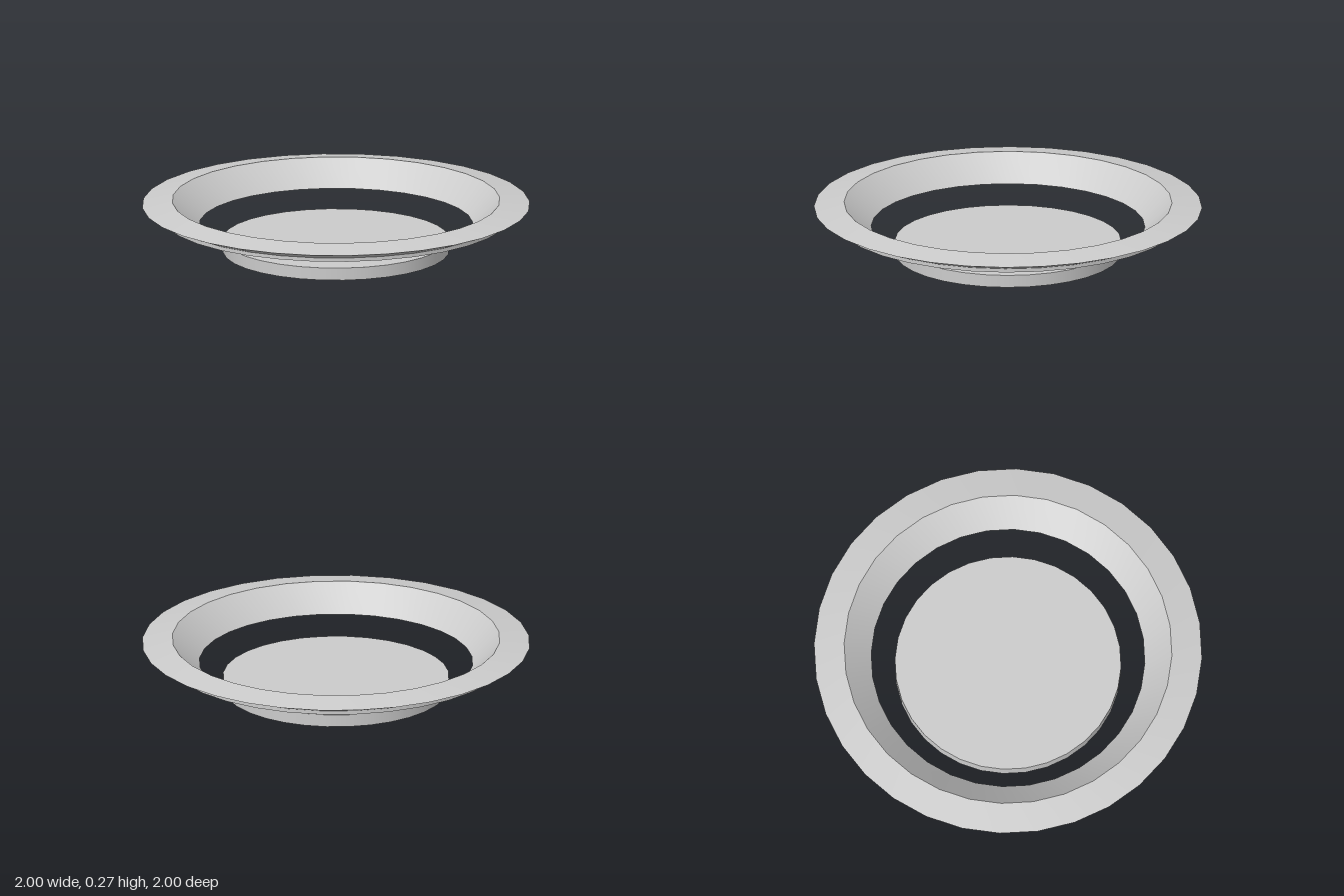
import * as THREE from 'three';
import { toCreasedNormals } from 'three/addons/utils/BufferGeometryUtils.js';

const SIDES = 32;

export function createModel() {
  const group = new THREE.Group();
  const material = new THREE.MeshStandardMaterial({ color: 0xcccccc });

  // Trim ring: closed profile, from the inner bottom edge out, up and back in
  const profile = [
    [0.705, 0.14],
    [0.835, 0.205],
    [0.9, 0.185],
    [0.9, 0.205],
    [1, 0.245],
    [0.845, 0.27],
    [0.705, 0.14],
  ].map(([r, y]) => new THREE.Vector2(r, y));
  const ringGeometry = toCreasedNormals(new THREE.LatheGeometry(profile, SIDES), 0.35);
  const ring = new THREE.Mesh(ringGeometry, material);
  ring.name = 'trimRing';
  group.add(ring);

  // Flat disc floating below the ring opening
  const height = 0.065;
  const disc = new THREE.Mesh(new THREE.CylinderGeometry(0.583, 0.583, height, SIDES), material);
  disc.position.y = height / 2;
  disc.name = 'centerDisc';
  group.add(disc);

  return group;
}
